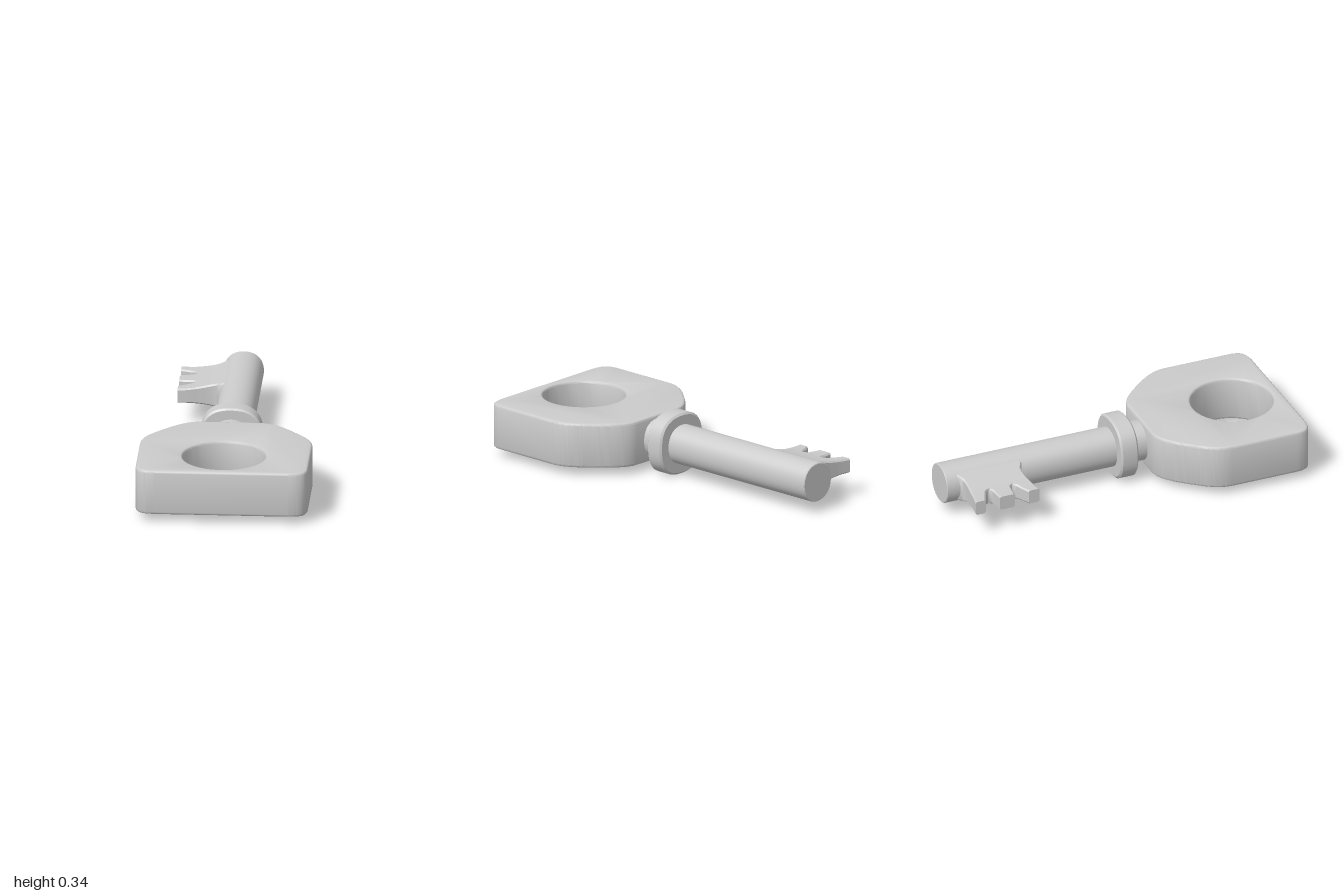
import * as THREE from 'three';
import { toCreasedNormals } from 'three/addons/utils/BufferGeometryUtils.js';

const MID = 0.171; // height of the key's centre plane
const material = new THREE.MeshStandardMaterial({ color: 0xcccccc });

function addMesh(group, name, geometry) {
  const mesh = new THREE.Mesh(toCreasedNormals(geometry, 0.7), material);
  mesh.name = name;
  group.add(mesh);
}

// Flat plate drawn in (x, z), centred on y, with rounded rims
function plate(shape, thickness, bevel) {
  const geometry = new THREE.ExtrudeGeometry(shape, {
    depth: thickness - 2 * bevel,
    bevelThickness: bevel,
    bevelSize: bevel,
    bevelOffset: -bevel,
    bevelSegments: 3,
    curveSegments: 24,
  });
  geometry.translate(0, 0, -(thickness / 2 - bevel));
  return geometry.rotateX(Math.PI / 2);
}

// Rod along z with chamfered rims; bulge swells the diagonals slightly
function rod(radius, z0, z1, bevel, bulge) {
  const profile = [
    [0, z0], [radius - bevel, z0], [radius, z0 + bevel],
    [radius, z1 - bevel], [radius - bevel, z1], [0, z1],
  ].map(([r, z]) => new THREE.Vector2(r, z));
  const geometry = new THREE.LatheGeometry(profile, 64);
  const p = geometry.attributes.position;
  for (let i = 0; i < p.count; i++) {
    const angle = Math.atan2(p.getZ(i), p.getX(i));
    const s = 1 + bulge * (1 - Math.cos(4 * angle)) / 2;
    p.setXYZ(i, p.getX(i) * s, p.getY(i), p.getZ(i) * s);
  }
  return geometry.rotateX(Math.PI / 2);
}

// Bit piece lofted towards -x through [x, back z, front z] sections,
// thinning from the shaft to the tooth tips
function bitPiece(sections) {
  const positions = [];
  const index = [];
  const c = 0.008;
  for (const [x, z0, z1] of sections) {
    const h = 0.04 + 0.045 * ((x + 0.333) / 0.27) ** 2;
    const ring = [
      [h, z1 - c], [h, z0 + c], [h - c, z0], [c - h, z0],
      [-h, z0 + c], [-h, z1 - c], [c - h, z1], [h - c, z1],
    ];
    for (const [y, z] of ring) positions.push(x, y, z);
  }
  const last = (sections.length - 1) * 8;
  for (let a = 0; a < last; a += 8) {
    for (let j = 0; j < 8; j++) {
      const k = (j + 1) % 8;
      index.push(a + j, a + k, a + 8 + k, a + j, a + 8 + k, a + 8 + j);
    }
  }
  for (let j = 1; j < 7; j++) index.push(last, last + j, last + j + 1);
  const geometry = new THREE.BufferGeometry();
  geometry.setAttribute('position', new THREE.Float32BufferAttribute(positions, 3));
  geometry.setIndex(index);
  return geometry;
}

function bowShape() {
  const s = new THREE.Shape();
  s.moveTo(-0.36, 1);
  s.lineTo(0.36, 1);
  s.bezierCurveTo(0.44, 0.996, 0.467, 0.975, 0.467, 0.9);
  s.lineTo(0.467, 0.53);
  s.bezierCurveTo(0.467, 0.46, 0.435, 0.41, 0.39, 0.355);
  s.bezierCurveTo(0.33, 0.285, 0.25, 0.18, 0.16, 0.18);
  s.lineTo(-0.16, 0.18);
  s.bezierCurveTo(-0.25, 0.18, -0.33, 0.285, -0.39, 0.355);
  s.bezierCurveTo(-0.435, 0.41, -0.467, 0.46, -0.467, 0.53);
  s.lineTo(-0.467, 0.9);
  s.bezierCurveTo(-0.467, 0.975, -0.44, 0.996, -0.36, 1);
  const hole = new THREE.Path();
  hole.absarc(0, 0.722, 0.225, 0, Math.PI * 2, false);
  s.holes.push(hole);
  return s;
}

export function createModel() {
  const key = new THREE.Group();
  key.name = 'key';
  key.position.y = MID;
  addMesh(key, 'bow', plate(bowShape(), 0.25, 0.014));
  addMesh(key, 'shaft', rod(0.108, -1, 0.22, 0.004, 0.03));
  addMesh(key, 'collar', rod(0.17, 0, 0.103, 0.01, 0.07));

  // Web beside the shaft, filleted at its root
  addMesh(key, 'bitWeb', bitPiece([
    [-0.05, -0.935, -0.55], [-0.09, -0.933, -0.555], [-0.105, -0.924, -0.563],
    [-0.12, -0.914, -0.573], [-0.15, -0.91, -0.577], [-0.19, -0.912, -0.574],
    [-0.235, -0.916, -0.568],
  ]));
  // Three teeth with rounded notches between them
  const teeth = {
    backTooth: [[-0.235, -0.916, -0.815], [-0.25, -0.917, -0.835], [-0.285, -0.922, -0.85], [-0.333, -0.93, -0.87]],
    middleTooth: [[-0.235, -0.812, -0.675], [-0.25, -0.797, -0.69], [-0.285, -0.793, -0.693], [-0.333, -0.787, -0.7]],
    frontTooth: [[-0.235, -0.675, -0.568], [-0.25, -0.658, -0.565], [-0.285, -0.642, -0.561], [-0.333, -0.618, -0.555]],
  };
  for (const [name, sections] of Object.entries(teeth)) addMesh(key, name, bitPiece(sections));
  return key;
}
